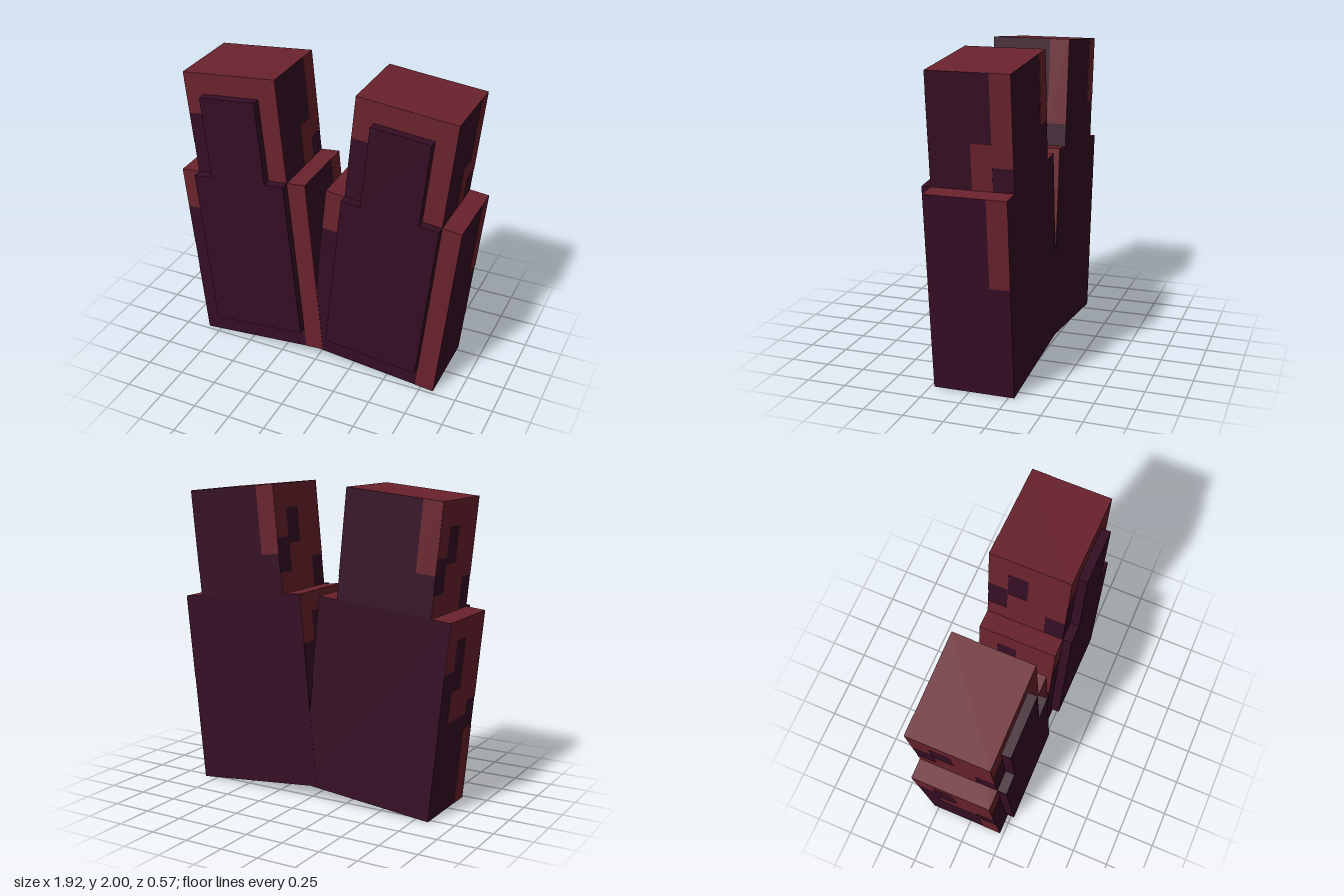
import * as THREE from 'three';

const crimson = new THREE.MeshStandardMaterial({ color: 0x6a222d });
crimson.name = 'crimson';
const plum = new THREE.MeshStandardMaterial({ color: 0x350d24 });
plum.name = 'dark plum';

const BACK = -0.285, FRONT = 0.225, T = 0.004; // block depth, plate thickness
const LOW = 0.445, UP = 0.319, INNER = 0.191;  // half widths
const STEP = 1.245, TOP = 1.935;               // heights of the two tiers
const Z = [BACK, -0.158, -0.03, 0.0975, FRONT]; // columns on the side faces

// Box given by its limits
function block(name, x0, x1, y0, y1, z0, z1, material) {
  const geo = new THREE.BoxGeometry(x1 - x0, y1 - y0, z1 - z0);
  geo.translate((x0 + x1) / 2, (y0 + y1) / 2, (z0 + z1) / 2);
  const mesh = new THREE.Mesh(geo, material);
  mesh.name = name;
  return mesh;
}

function createPillar(name) {
  const pillar = new THREE.Group();
  pillar.name = name;
  const add = (...args) => pillar.add(block(...args));
  const redTop = [plum, plum, crimson, plum, plum, plum];

  // Two-tier body with red upper faces
  add('lowerBlock', -LOW, LOW, 0, STEP, BACK, FRONT, redTop);
  add('upperBlock', -UP, UP, STEP, TOP, BACK, FRONT, redTop);

  // Raised front panel
  add('lowerFrontPanel', -UP, UP, 0.143, STEP, FRONT, 0.285, plum);
  add('upperFrontPanel', -INNER, INNER, STEP, 1.797, FRONT, 0.285, plum);

  // Painted front borders: x0, x1, y0, y1
  for (const [x0, x1, y0, y1] of [
    [UP, LOW, 0, STEP],
    [-LOW, -UP, 0.97, STEP],
    [INNER, UP, STEP, TOP],
    [-UP, -INNER, 1.66, TOP],
    [-INNER, INNER, 1.797, TOP],
  ]) add('frontBorder', x0, x1, y0, y1, FRONT - T / 2, FRONT + T / 2, crimson);

  // Painted strip on the back
  add('backStrip', -UP, -INNER, 1.5, TOP, BACK - T / 2, BACK + T / 2, crimson);

  // Painted side patches: face x, first column, last column, y0, y1
  for (const [x, c0, c1, y0, y1] of [
    [LOW, 0, 1, 0.7, STEP],
    [UP, 0, 1, 1.39, TOP],
    [UP, 1, 2, STEP, 1.525],
    [-LOW, 0, 4, 1.12, STEP],
    [-LOW, 0, 1, 0.93, 1.12],
    [-LOW, 1, 2, 0.6, 0.8],
    [-LOW, 2, 3, 0.6, 1.12],
    [-LOW, 3, 4, 0.69, 1.12],
    [-LOW, 3, 4, 0, 0.5],
    [-UP, 0, 4, 1.78, TOP],
    [-UP, 0, 1, 1.6, 1.78],
    [-UP, 0, 1, STEP, 1.38],
    [-UP, 1, 2, STEP, 1.555],
    [-UP, 2, 3, STEP, 1.78],
    [-UP, 3, 4, 1.45, 1.78],
  ]) add('sidePatch', x - T / 2, x + T / 2, y0, y1, Z[c0], Z[c1], crimson);

  return pillar;
}

export function createModel() {
  const model = new THREE.Group();
  model.name = 'twinPillars';
  // Two pillars leaning apart and crossing slightly at the base
  for (const side of [1, -1]) {
    const pillar = createPillar(side > 0 ? 'leftPillar' : 'rightPillar');
    pillar.position.set(side * 0.395, 0.043, side > 0 ? 0 : 0.001);
    pillar.rotation.z = -side * 0.0969;
    model.add(pillar);
  }
  return model;
}
